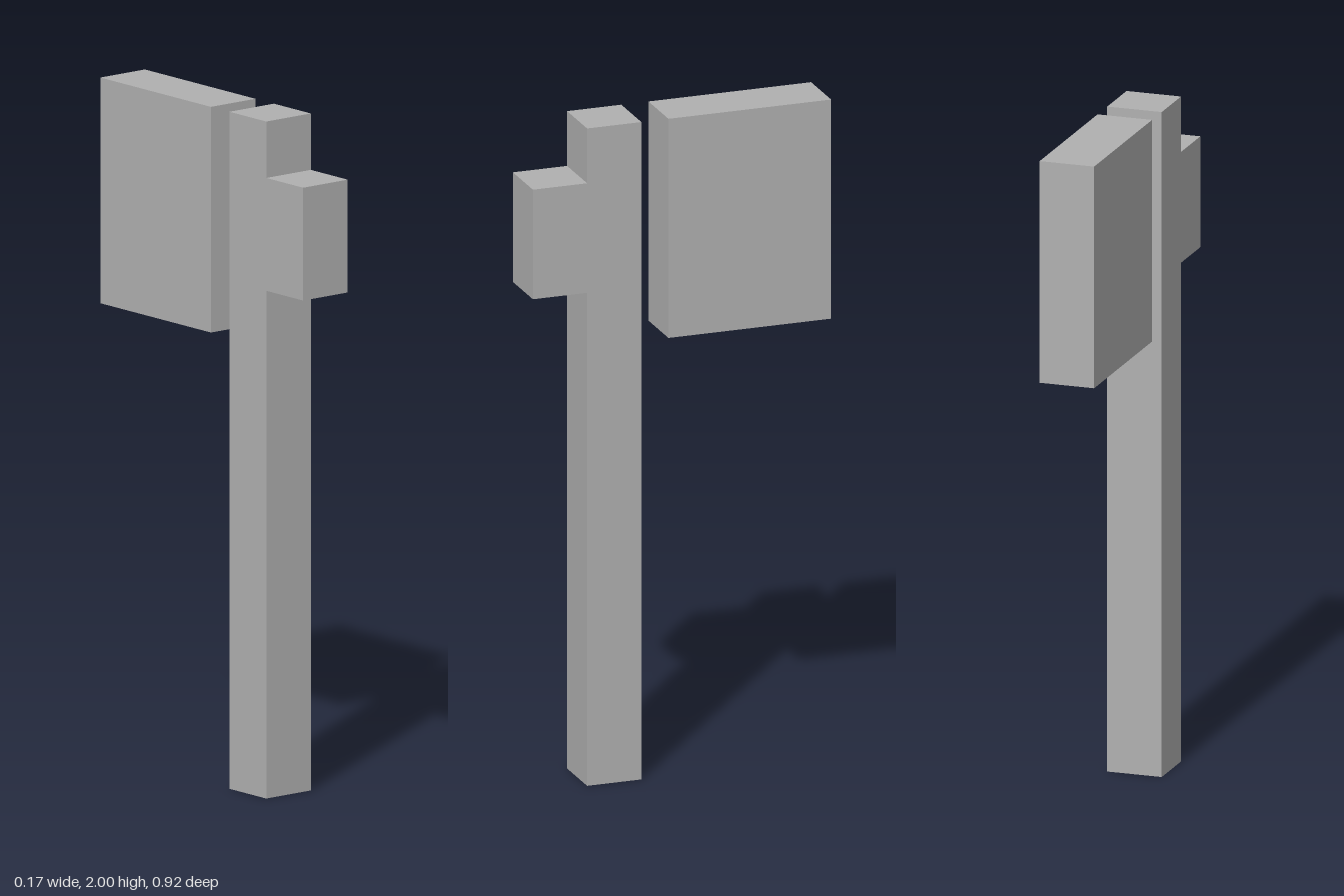
import * as THREE from 'three';

const U = 1 / 24; // modelling grid step

export function createModel() {
  const group = new THREE.Group();
  const grey = new THREE.MeshStandardMaterial({ color: 0xb0b0b0 });
  grey.name = 'grey';

  // Box spanning y0..y1 and z0..z1 in grid steps, all parts share one thickness
  const slab = (name, y0, y1, z0, z1) => {
    const mesh = new THREE.Mesh(new THREE.BoxGeometry(4 * U, (y1 - y0) * U, (z1 - z0) * U), grey);
    mesh.position.set(0, ((y0 + y1) / 2) * U, ((z0 + z1) / 2) * U);
    mesh.name = name;
    group.add(mesh);
  };

  // Blade floats a small gap behind the handle
  slab('blade', 32, 48, -11, 1);

  // Handle and the block on its front, as one cross-shaped solid without inner faces
  const outline = [[3, 0], [7, 0], [7, 36], [11, 36], [11, 44], [7, 44], [7, 48], [3, 48]];
  const shape = new THREE.Shape(outline.map(([z, y]) => new THREE.Vector2(-z * U, y * U)));
  const geometry = new THREE.ExtrudeGeometry(shape, { depth: 4 * U, bevelEnabled: false });
  geometry.translate(0, 0, -2 * U).rotateY(Math.PI / 2);
  const handle = new THREE.Mesh(geometry, grey);
  handle.name = 'handleWithFrontBlock';
  group.add(handle);

  return group;
}
